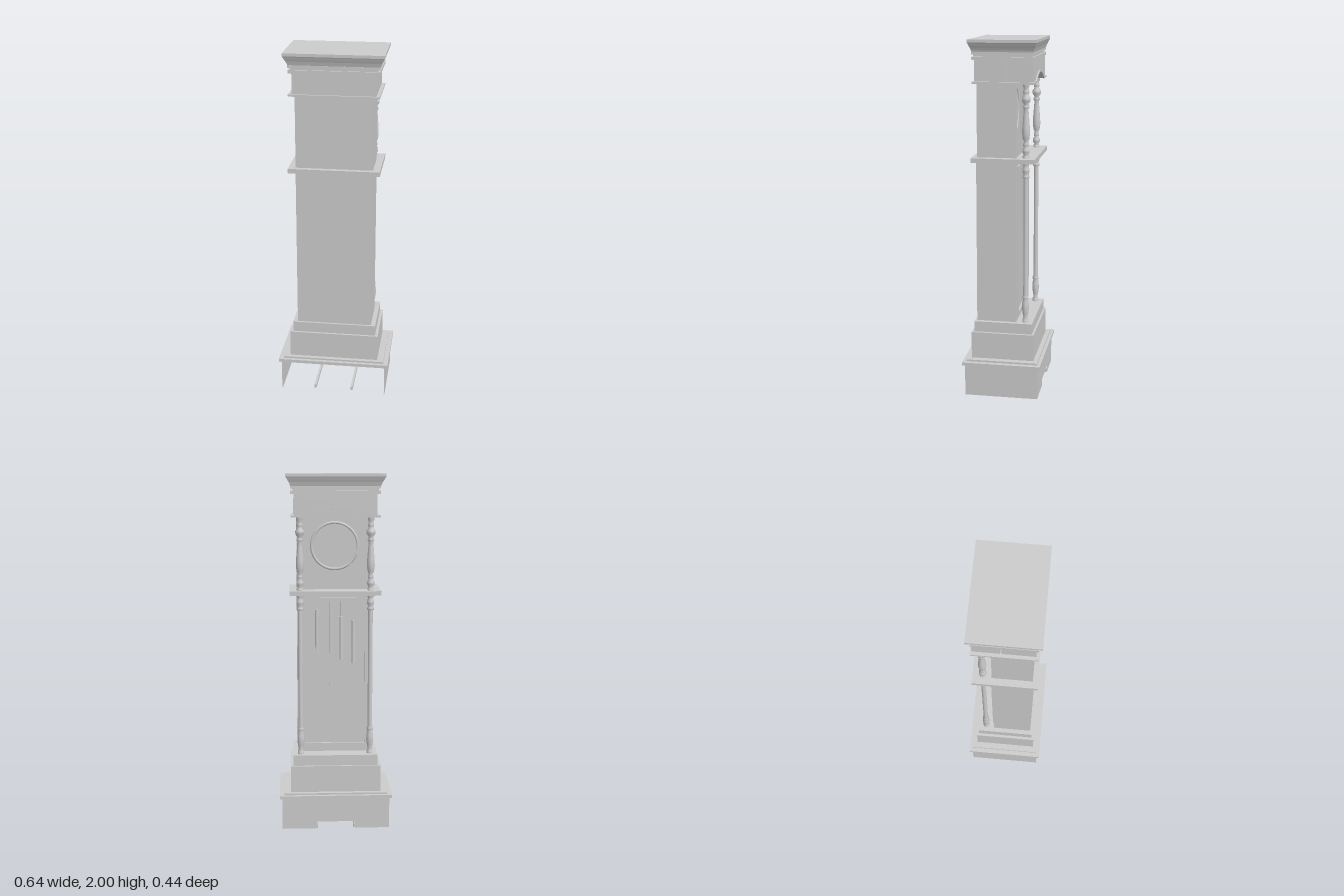
import * as THREE from 'three';

export function createModel() {
  const root = new THREE.Group();
  const grey = new THREE.MeshStandardMaterial({ color: 0xcccccc });
  const thin = new THREE.MeshStandardMaterial({ color: 0xcccccc, side: THREE.DoubleSide });

  const add = (name, geo, mat = grey, x = 0, y = 0, z = 0) => {
    const m = new THREE.Mesh(geo, mat);
    m.name = name;
    m.position.set(x, y, z);
    root.add(m);
    return m;
  };
  // box given by its limits
  const box = (name, x0, x1, y0, y1, z0, z1) =>
    add(name, new THREE.BoxGeometry(x1 - x0, y1 - y0, z1 - z0), grey,
      (x0 + x1) / 2, (y0 + y1) / 2, (z0 + z1) / 2);
  const slab = (name, hx, y0, y1, z0, z1) => box(name, -hx, hx, y0, y1, z0, z1);
  const poly = pts => new THREE.Shape(pts.map(p => new THREE.Vector2(p[0], p[1])));
  const rect = (hx, y0, y1) => poly([[-hx, y0], [hx, y0], [hx, y1], [-hx, y1]]);
  const extrude = (name, shape, z0, z1) =>
    add(name, new THREE.ExtrudeGeometry(shape, { depth: z1 - z0, bevelEnabled: false }), grey, 0, 0, z0);

  // rectangular moulding lofted through [halfX, halfZ, y] sections, bottom to top
  const moulding = (name, sections) => {
    const pos = [];
    const ring = ([x, z, y]) => [[-x, y, z], [x, y, z], [x, y, -z], [-x, y, -z]];
    const quad = (a, b, c, d) => pos.push(...a, ...b, ...c, ...a, ...c, ...d);
    for (let i = 0; i < sections.length - 1; i++) {
      const a = ring(sections[i]), b = ring(sections[i + 1]);
      for (let k = 0; k < 4; k++) {
        const n = (k + 1) % 4;
        quad(a[k], a[n], b[n], b[k]);
      }
    }
    quad(...ring(sections[sections.length - 1]));
    quad(...ring(sections[0]).reverse());
    const g = new THREE.BufferGeometry();
    g.setAttribute('position', new THREE.Float32BufferAttribute(pos, 3));
    g.computeVertexNormals();
    add(name, g);
  };

  // base: open at back and bottom, notched front panel
  const front = new THREE.ShapeGeometry(poly([[-0.3, 0], [-0.105, 0], [-0.105, 0.04],
    [0.105, 0.04], [0.105, 0], [0.3, 0], [0.305, 0.01], [0.305, 0.18], [-0.305, 0.18], [-0.305, 0.01]]));
  front.rotateY(Math.PI);
  add('baseFront', front, grey, 0, 0, -0.207);
  for (const s of [-1, 1]) {
    const xs = [s * 0.305, s * 0.301].sort((a, b) => a - b);
    box('baseSide', xs[0], xs[1], 0, 0.18, -0.206, 0.207);
    box('baseRunner', s * 0.108 - 0.006, s * 0.108 + 0.006, 0.002, 0.022, -0.206, 0.19);
  }
  slab('baseTrim', 0.32, 0.18, 0.198, -0.222, 0.222);
  slab('baseTrimStep', 0.293, 0.198, 0.208, -0.203, 0.202);
  slab('lowerPlinth', 0.256, 0.208, 0.36, -0.177, 0.178);
  slab('upperPlinth', 0.24, 0.36, 0.42, -0.165, 0.165);

  // hollow case: sides and back for both storeys
  for (const [n, y0, y1, zb] of [['trunk', 0.42, 1.335, 0.153], ['hood', 1.36, 1.78, 0.148]]) {
    slab(n + 'Back', 0.214, y0, y1, zb - 0.015, zb);
    for (const s of [-1, 1])
      box(n + 'Side', s * 0.207 - 0.007, s * 0.207 + 0.007, y0, y1, -0.072, zb - 0.015);
  }
  slab('middleShelf', 0.254, 1.335, 1.36, -0.177, 0.176);

  // trunk front with raised door frame
  const trunkFront = rect(0.2, 0.42, 1.335);
  trunkFront.holes.push(rect(0.17, 0.47, 1.295));
  extrude('trunkFront', trunkFront, -0.072, -0.055);
  const door = rect(0.19, 0.45, 1.312);
  door.holes.push(rect(0.17, 0.47, 1.295));
  extrude('doorFrame', door, -0.081, -0.072);

  // broken panes
  const pane = (name, outline, hole, z) => {
    outline.holes.push(poly(hole));
    add(name, new THREE.ShapeGeometry(outline), thin, 0, 0, z);
  };
  pane('doorPane', rect(0.17, 0.47, 1.295), [[0.165, 1.29], [0.13, 1.1], [0.08, 0.92], [0.07, 1.0],
    [0.01, 0.99], [-0.01, 0.88], [-0.08, 0.92], [-0.04, 0.84], [0.04, 0.82], [-0.04, 0.73], [0, 0.56],
    [-0.06, 0.6], [-0.13, 0.54], [-0.12, 0.66], [-0.09, 0.76], [-0.14, 0.88], [-0.12, 1.0],
    [-0.155, 1.06], [-0.12, 1.15], [-0.14, 1.22], [-0.09, 1.29]], -0.068);
  pane('hoodPane', rect(0.2, 1.36, 1.78), [[0.198, 1.77], [0.198, 1.42], [0.16, 1.43], [0.14, 1.47],
    [0.09, 1.45], [0.07, 1.48], [0.02, 1.45], [-0.03, 1.47], [-0.09, 1.45], [-0.08, 1.5], [-0.14, 1.53],
    [-0.11, 1.57], [-0.16, 1.62], [-0.12, 1.66], [-0.17, 1.71], [-0.15, 1.77]], -0.07);

  // dial
  slab('dialPlate', 0.2, 1.36, 1.84, -0.022, -0.015);
  add('dialRing', new THREE.TorusGeometry(0.13, 0.008, 8, 48), grey, 0, 1.6, -0.024);
  const disc = add('dialFace', new THREE.CylinderGeometry(0.127, 0.127, 0.006, 48), grey, 0, 1.6, -0.024);
  disc.rotation.x = Math.PI / 2;

  // pendulum and weights
  const rod = (name, x, z, y0, y1, r) =>
    add(name, new THREE.CylinderGeometry(r, r, y1 - y0, 16), grey, x, (y0 + y1) / 2, z);
  for (const [x, y] of [[0.1, 0.98], [-0.04, 0.94], [-0.11, 0.92]]) {
    rod('weightCord', x, 0.02, y, 1.335, 0.003);
    rod('weight', x, 0.02, y, y + 0.25, 0.011);
  }
  rod('pendulumRod', 0.02, 0.06, 0.62, 1.335, 0.007);
  rod('pendulumBob', 0.02, 0.06, 0.62, 0.76, 0.013);

  // turned columns, [radius, y]
  const lower = [[0.018, 0.42], [0.018, 0.435], [0.011, 0.445], [0.016, 0.47], [0.02, 0.5], [0.019, 0.53],
    [0.014, 0.555], [0.018, 0.56], [0.018, 0.57], [0.013, 0.58], [0.013, 1.245], [0.019, 1.25], [0.019, 1.262],
    [0.013, 1.27], [0.02, 1.285], [0.02, 1.3], [0.013, 1.315], [0.018, 1.322], [0.018, 1.335]];
  const upper = [[0.018, 1.36], [0.018, 1.37], [0.012, 1.378], [0.02, 1.392], [0.02, 1.408], [0.012, 1.42],
    [0.016, 1.43], [0.016, 1.44], [0.011, 1.45], [0.018, 1.465], [0.022, 1.495], [0.021, 1.53], [0.015, 1.6],
    [0.013, 1.63], [0.018, 1.635], [0.018, 1.645], [0.012, 1.655], [0.024, 1.672], [0.024, 1.69], [0.013, 1.705],
    [0.017, 1.715], [0.017, 1.728], [0.012, 1.737], [0.018, 1.75], [0.018, 1.77]];
  for (const s of [-1, 1])
    for (const [n, p] of [['lowerColumn', lower], ['upperColumn', upper]])
      add(n, new THREE.LatheGeometry(p.map(q => new THREE.Vector2(q[0], q[1])), 20), thin, s * 0.197, 0, -0.122);

  // hood top: arched front, arched trim, solid rear
  const arch = [];
  for (let i = 0; i <= 24; i++) {
    const x = -0.15 + 0.3 * i / 24;
    arch.push([x, 1.775 + 0.05 * Math.pow(Math.cos(x / 0.15 * Math.PI / 2), 0.9)]);
  }
  extrude('archedFront', poly([[-0.228, 1.775], ...arch, [0.228, 1.775], [0.228, 1.89], [-0.228, 1.89]]), -0.165, -0.022);
  const line = [[-0.247, 1.775], ...arch, [0.247, 1.775]];
  const under = line.map(p => [p[0], p[1] - 0.011]).reverse();
  extrude('archedTrim', poly([...line, ...under]), -0.172, -0.072);
  slab('hoodBox', 0.228, 1.775, 1.89, -0.015, 0.157);
  slab('hoodTrim', 0.247, 1.764, 1.775, -0.015, 0.168);
  for (const s of [-1, 1])
    box('hoodTrimSide', s * 0.23 - 0.017, s * 0.23 + 0.017, 1.764, 1.775, -0.072, -0.015);

  // cornice
  slab('corniceBand', 0.247, 1.89, 1.908, -0.168, 0.168);
  slab('corniceNeck', 0.235, 1.908, 1.92, -0.16, 0.16);
  slab('corniceStep', 0.247, 1.92, 1.934, -0.168, 0.168);
  moulding('crown', [[0.247, 0.167, 1.934], [0.25, 0.17, 1.943], [0.256, 0.174, 1.955],
    [0.264, 0.18, 1.968], [0.269, 0.184, 1.978], [0.273, 0.187, 1.984], [0.273, 0.187, 2]]);
  return root;
}
